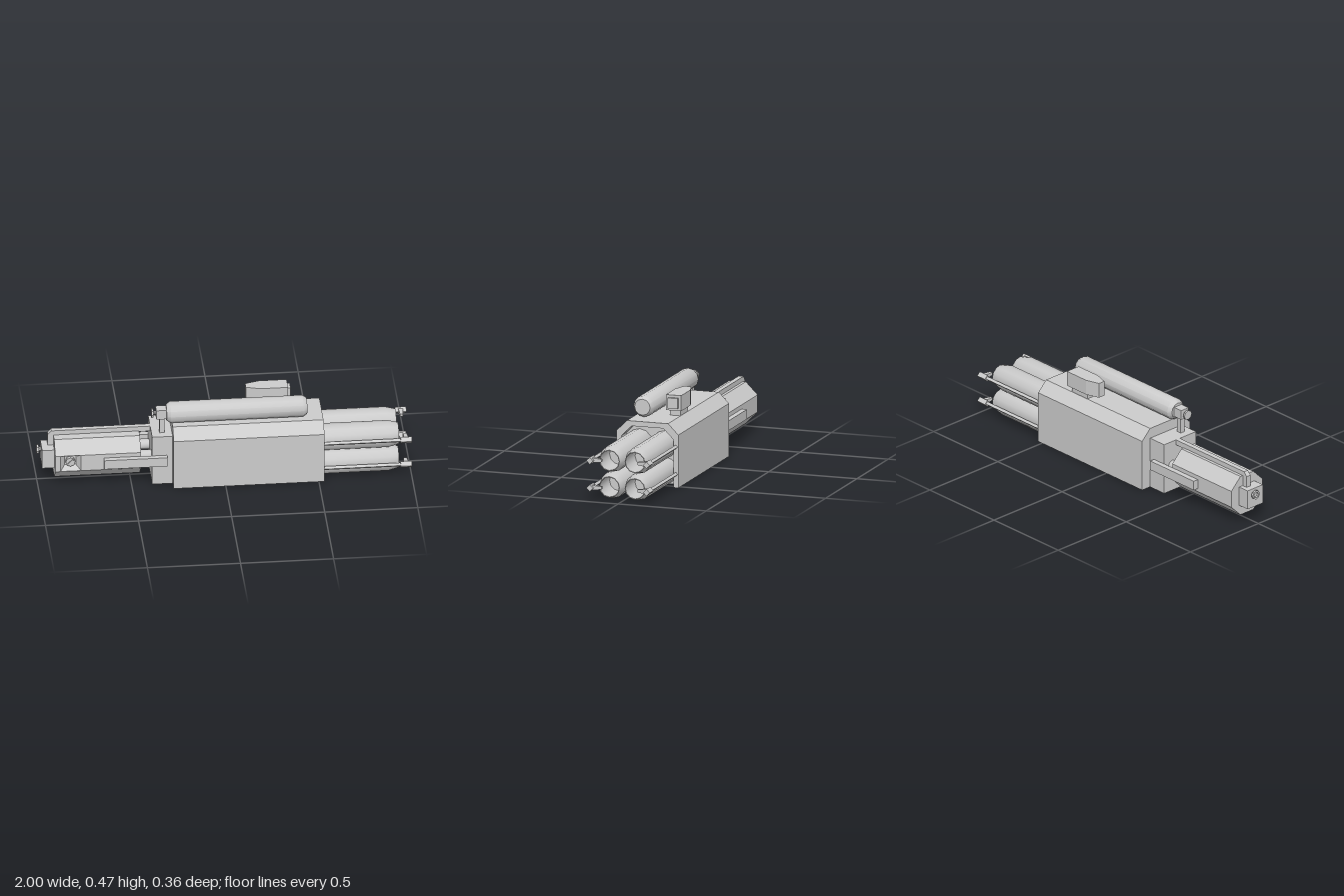
import * as THREE from 'three';
import { toCreasedNormals } from 'three/addons/utils/BufferGeometryUtils.js';

const flat = new THREE.MeshStandardMaterial({ color: 0xcccccc, flatShading: true });
const smooth = new THREE.MeshStandardMaterial({ color: 0xcccccc });
const twoSided = new THREE.MeshStandardMaterial({ color: 0xcccccc, flatShading: true, side: THREE.DoubleSide });

export function createModel() {
  const model = new THREE.Group();

  function add(name, geometry, material = flat, x = 0, y = 0, z = 0) {
    const mesh = new THREE.Mesh(geometry, material);
    mesh.name = name;
    mesh.position.set(x, y, z);
    model.add(mesh);
    return mesh;
  }

  // Box given by its limits on each axis
  function box(name, x0, x1, y0, y1, z0, z1) {
    return add(name, new THREE.BoxGeometry(x1 - x0, y1 - y0, z1 - z0), flat,
      (x0 + x1) / 2, (y0 + y1) / 2, (z0 + z1) / 2);
  }

  // Round part turned about the x axis; profile holds [radius, x] pairs
  function turned(name, profile, y, z, sides = 12) {
    const points = profile.map(([r, x]) => new THREE.Vector2(r, x));
    const geometry = new THREE.LatheGeometry(points, sides).rotateZ(-Math.PI / 2);
    return add(name, toCreasedNormals(geometry, 0.62), smooth, 0, y, z);
  }

  // Outline in (z, y) extruded along x
  function alongX(name, outline, x0, x1) {
    const shape = new THREE.Shape(outline.map(([z, y]) => new THREE.Vector2(z, y)));
    const geometry = new THREE.ExtrudeGeometry(shape, { depth: x1 - x0, bevelEnabled: false });
    return add(name, geometry.rotateY(Math.PI / 2), flat, x0);
  }

  // Housing: chamfered shell, recessed filling and rear block
  const outer = [[0.175, 0], [0.175, 0.29], [0.117, 0.348], [-0.117, 0.348], [-0.175, 0.29], [-0.175, 0]];
  const inner = [[0.147, 0], [0.147, 0.263], [0.09, 0.32], [-0.09, 0.32], [-0.147, 0.263], [-0.147, 0]];
  alongX('housingShell', [...outer, ...inner.slice().reverse()], -0.28, 0.53);
  alongX('housingCore', inner, -0.28, 0.45);
  box('rearBlock', -0.39, -0.28, 0, 0.29, -0.117, 0.117);

  // Four open tubes, each with a rod and an igniter on its outer side
  for (const side of [1, -1]) {
    for (const row of [0, 1]) {
      const y = 0.073 + row * 0.145;
      turned('launchTube', [[0, 0.43], [0.072, 0.43], [0.072, 0.88], [0.058, 0.935],
        [0.054, 0.935], [0.054, 0.78], [0, 0.78]], y, side * 0.0725);
      const rodY = 0.074 + row * 0.15;
      const rodZ = side * 0.161;
      const rod = box('igniterRod', 0.45, 0.95, rodY - 0.008, rodY + 0.008, rodZ - 0.008, rodZ + 0.008);
      rod.rotation.x = Math.PI / 4;
      const head = box('igniterHead', 0.94, 1, rodY - 0.0135, rodY + 0.0135, rodZ - 0.0135, rodZ + 0.0135);
      head.rotation.x = Math.PI / 4;
      const tip = new THREE.CylinderGeometry(0.011, 0.019, 0.05, 4).rotateY(Math.PI / 4);
      add('igniterTip', tip, flat, 0.97, rodY, side * 0.128).rotation.x = -side * Math.PI / 2;
    }
  }

  // Gas tank with valve, knob, post and saddle
  turned('tank', [[0, -0.31], [0.044, -0.31], [0.058, -0.288], [0.058, 0.423], [0.044, 0.445], [0, 0.445]], 0.407, 0.059);
  box('tankSaddle', -0.2, 0.35, 0.345, 0.365, 0.045, 0.073);
  box('tankValve', -0.365, -0.305, 0.38, 0.434, 0.032, 0.086);
  box('tankPost', -0.347, -0.32, 0.288, 0.382, 0.045, 0.073);
  turned('valveKnob', [[0, -0.39], [0.027, -0.39], [0.027, -0.38], [0.01, -0.38], [0.01, -0.36]], 0.407, 0.059, 8);

  // Sensor on a short post, tapered at its back
  const plan = new THREE.Shape([[0.13, -0.02], [0.205, -0.043], [0.355, -0.043],
    [0.355, 0.043], [0.205, 0.043], [0.13, 0.02]].map(([x, z]) => new THREE.Vector2(x, z)));
  const sensor = new THREE.ExtrudeGeometry(plan, { depth: 0.085, bevelEnabled: false }).rotateX(-Math.PI / 2);
  add('sensorBody', sensor, flat, 0, 0.38, -0.086);
  box('sensorLens', 0.35, 0.37, 0.394, 0.451, -0.115, -0.058);
  box('sensorPost', 0.21, 0.33, 0.34, 0.382, -0.115, -0.057);

  // Octagonal rear barrel; its +z side is a panel with a sunken pocket
  const apothem = 0.114;
  const radius = apothem / Math.cos(Math.PI / 8);
  const half = radius * Math.sin(Math.PI / 8);
  const barrel = new THREE.CylinderGeometry(radius, radius, 0.46, 7, 1, true, Math.PI / 8, Math.PI * 7 / 4);
  add('rearBarrel', barrel.rotateZ(-Math.PI / 2), twoSided, -0.68, 0.15, 0);
  for (const x of [-0.91, -0.45]) {
    const cap = new THREE.CircleGeometry(radius, 8, Math.PI / 8).rotateY(Math.PI / 2);
    add('barrelCap', cap, twoSided, x, 0.15, 0);
  }
  const rect = (Kind, x0, x1, h) => new Kind([[x0, -h], [x1, -h], [x1, h], [x0, h]]
    .map(([x, y]) => new THREE.Vector2(x, y)));
  const panel = rect(THREE.Shape, -0.91, -0.45, half);
  panel.holes.push(rect(THREE.Path, -0.882, -0.772, half - 0.001));
  add('pocketPanel', new THREE.ShapeGeometry(panel), twoSided, 0, 0.15, apothem);
  const root = Math.SQRT2;
  const funnel = new THREE.CylinderGeometry(0.055 * root, 0.03 * root, 0.035, 4, 1, true)
    .rotateY(Math.PI / 4).rotateX(Math.PI / 2).scale(1, (half - 0.001) / 0.055, 1);
  add('pocketWalls', funnel, twoSided, -0.827, 0.15, apothem - 0.0175);
  add('pocketFloor', new THREE.PlaneGeometry(0.06, 0.06), twoSided, -0.827, 0.15, apothem - 0.035);
  const screw = new THREE.CylinderGeometry(0.026, 0.026, 0.02, 8).rotateX(Math.PI / 2);
  add('pocketScrew', screw, flat, -0.827, 0.15, apothem - 0.025);
  const slot = box('screwSlot', -0.847, -0.807, 0.145, 0.155, 0.095, 0.105);
  slot.rotation.z = Math.PI / 4;

  // Connecting pins and side struts between barrel and block
  for (const side of [1, -1]) {
    turned('connectingPin', [[0.028, -0.46], [0.028, -0.38]], 0.15, side * 0.058);
    box('sideStrut', -0.65, -0.31, 0.122, 0.175, side * 0.13 - 0.015, side * 0.13 + 0.015);
  }

  // Top rail that bends down over the rear end
  const railPath = new THREE.Shape([[-0.38, 0.26], [-0.91, 0.26], [-0.91, 0.19], [-0.94, 0.19],
    [-0.94, 0.268], [-0.92, 0.29], [-0.38, 0.29]].map(([x, y]) => new THREE.Vector2(x, y)));
  add('topRail', new THREE.ExtrudeGeometry(railPath, { depth: 0.028, bevelEnabled: false }), flat, 0, 0, -0.03);

  // End box with a small knob
  box('endBox', -0.975, -0.91, 0.095, 0.204, -0.056, 0.056);
  turned('endKnob', [[0, -0.99], [0.016, -0.99], [0.016, -1], [0.026, -1], [0.026, -0.988],
    [0.012, -0.988], [0.012, -0.97]], 0.175, -0.015, 8);

  return model;
}
